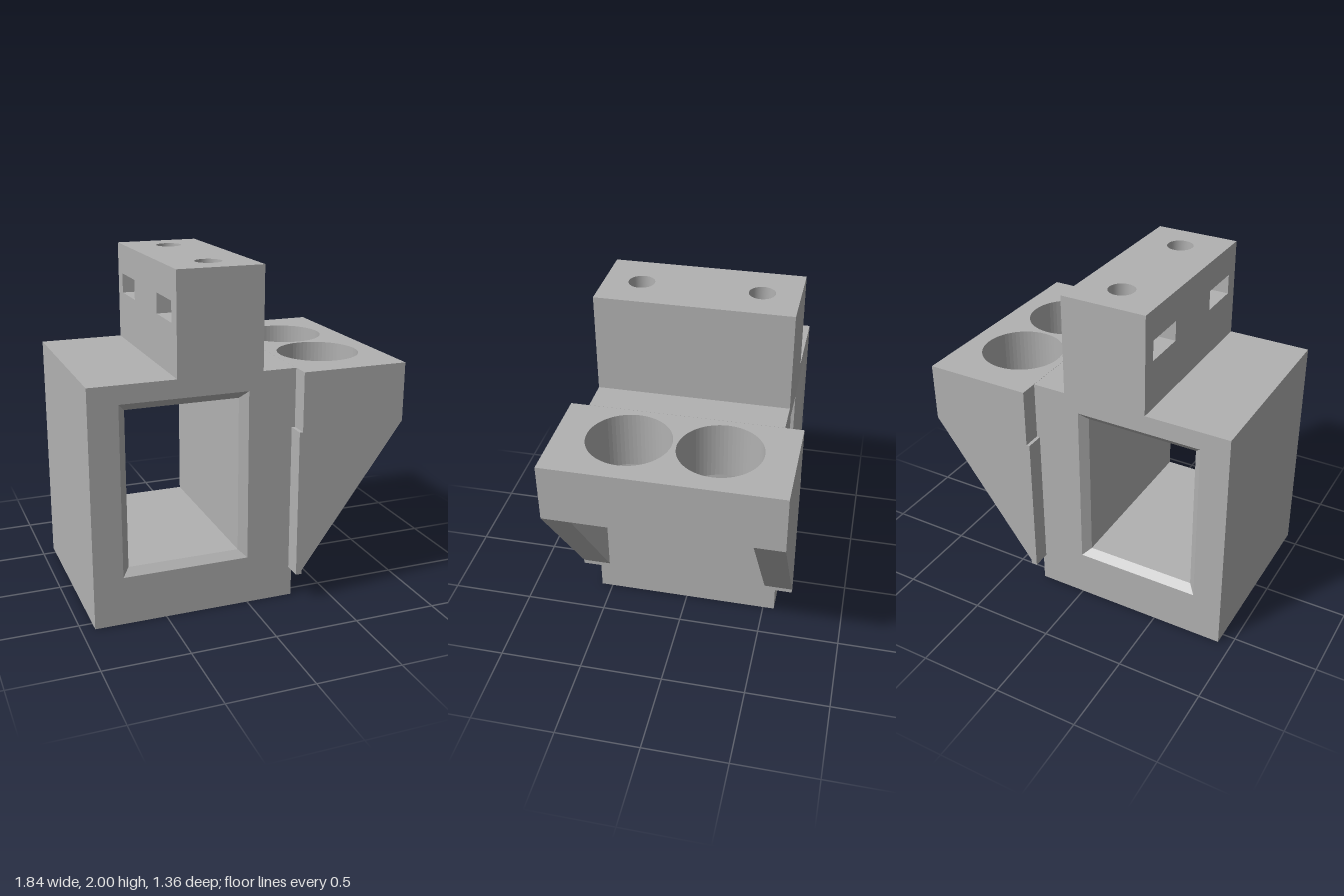
import * as THREE from 'three';
import { mergeGeometries } from 'three/addons/utils/BufferGeometryUtils.js';

const Z = 0.57;                       // half depth of the body
const SCREW_Z = [-0.35, 0.35], SCREW_X = -0.16, SCREW_R = 0.077;
const SLOT = { x0: -0.42, x1: -0.03, y0: 1.7, y1: 1.82, half: 0.132 };
const SCREW_BOTTOM = 1.5;

// Closed polygon from [x, y] points
const poly = (pts) => new THREE.Shape(pts.map(([x, y]) => new THREE.Vector2(x, y)));
const rect = (x0, y0, x1, y1) => [[x0, y0], [x1, y0], [x1, y1], [x0, y1]];

function circle(x, y, r) {
  const p = new THREE.Path();
  p.absarc(x, y, r, 0, Math.PI * 2, true);
  return p;
}

// Flat quads joining two loops of [x, y] points at different z; skips listed sides
function wallBetween(a, za, b, zb, inward, skip = []) {
  const pos = [];
  a.forEach((_, i) => {
    if (skip.includes(i)) return;
    const j = (i + 1) % a.length;
    const q = [[...a[i], za], [...a[j], za], [...b[j], zb], [...b[i], zb]];
    if (!inward) q.reverse();
    for (const k of [0, 1, 2, 0, 2, 3]) pos.push(...q[k]);
  });
  const g = new THREE.BufferGeometry();
  g.setAttribute('position', new THREE.Float32BufferAttribute(pos, 3));
  g.computeVertexNormals();
  return g;
}

export function createModel() {
  const model = new THREE.Group();
  model.name = 'sensorMount';
  const grey = new THREE.MeshStandardMaterial({ color: 0xb2b2b2, side: THREE.DoubleSide });
  grey.name = 'grey plastic';

  const add = (name, geometry, parent = model) => {
    const mesh = new THREE.Mesh(geometry, grey);
    mesh.name = name;
    parent.add(mesh);
    return mesh;
  };
  const group = (name) => {
    const g = new THREE.Group();
    g.name = name;
    model.add(g);
    return g;
  };

  // Body and neck shell
  const body = group('body');
  const outline = [[-0.922, 0], [0.284, 0], [0.284, 1.408], [0.085, 1.408],
    [0.085, 2], [-0.42, 2], [-0.42, 1.408], [-0.922, 1.408]];
  const windowOuter = rect(-0.75, 0.288, 0, 1.3);
  const windowInner = rect(-0.708, 0.33, -0.045, 1.255);
  for (const side of [1, -1]) {
    const mirror = (pts) => pts.map(([x, y]) => [x * side, y]);
    const shape = poly(mirror(outline));
    shape.holes.push(poly(mirror(windowOuter)));
    const face = new THREE.ShapeGeometry(shape);
    if (side < 0) face.rotateY(Math.PI);
    add(side > 0 ? 'frontFace' : 'backFace', face.translate(0, 0, side * Z), body);
  }
  add('outerWalls', wallBetween(outline, Z, outline, -Z, false, [4, 5]), body);

  // Tunnel with chamfered mouths
  const zi = Z - 0.042;
  add('tunnel', mergeGeometries([
    wallBetween(windowOuter, Z, windowInner, zi, true),
    wallBetween(windowInner, zi, windowInner, -zi, true),
    wallBetween(windowInner, -zi, windowOuter, -Z, true),
  ]), body);

  // Neck top with screw holes
  const top = poly(rect(-0.42, -Z, 0.085, Z));
  SCREW_Z.forEach((z) => top.holes.push(circle(SCREW_X, -z, SCREW_R)));
  add('neckTop', new THREE.ShapeGeometry(top, 24).rotateX(-Math.PI / 2).translate(0, 2, 0), body);

  // Neck side with nut slots
  const side = poly(rect(-Z, 1.408, Z, 2));
  SCREW_Z.forEach((z) => side.holes.push(poly(rect(z - SLOT.half, SLOT.y0, z + SLOT.half, SLOT.y1))));
  add('neckSide', new THREE.ShapeGeometry(side).rotateY(-Math.PI / 2).translate(-0.42, 0, 0), body);

  // Screw holes and nut slots
  const w = SLOT.x1 - SLOT.x0, h = SLOT.y1 - SLOT.y0, cy = (SLOT.y0 + SLOT.y1) / 2;
  SCREW_Z.forEach((z) => {
    const pocket = group('screwPocket');
    const tube = (y0, y1) => add('screwHole',
      new THREE.CylinderGeometry(SCREW_R, SCREW_R, y1 - y0, 48, 1, true)
        .translate(SCREW_X, (y0 + y1) / 2, z), pocket);
    tube(SLOT.y1, 2);
    tube(SCREW_BOTTOM, SLOT.y0);
    add('screwHoleEnd', new THREE.CircleGeometry(SCREW_R, 48).rotateX(-Math.PI / 2)
      .translate(SCREW_X, SCREW_BOTTOM, z), pocket);
    for (const [y, dir] of [[SLOT.y0, -1], [SLOT.y1, 1]]) {
      const plate = poly(rect(SLOT.x0, -SLOT.half, SLOT.x1, SLOT.half));
      plate.holes.push(circle(SCREW_X, 0, SCREW_R));
      add(dir < 0 ? 'slotFloor' : 'slotCeiling',
        new THREE.ShapeGeometry(plate, 24).rotateX(dir * Math.PI / 2).translate(0, y, z), pocket);
    }
    for (const s of [1, -1]) {
      const wall = new THREE.PlaneGeometry(w, h);
      if (s > 0) wall.rotateY(Math.PI);
      add('slotWall', wall.translate((SLOT.x0 + SLOT.x1) / 2, cy, z + s * SLOT.half), pocket);
    }
    add('slotEnd', new THREE.PlaneGeometry(SLOT.half * 2, h).rotateY(-Math.PI / 2)
      .translate(SLOT.x1, cy, z), pocket);
  });

  // Bracket shelf with two large round holes
  const bracket = group('bracket');
  const shelf = poly(rect(0.285, -0.678, 0.922, 0.678));
  for (const z of [-0.256, 0.256]) shelf.holes.push(circle(0.57, z, 0.243));
  add('shelf', new THREE.ExtrudeGeometry(shelf, { depth: 0.348, bevelEnabled: false, curveSegments: 32 })
    .rotateX(-Math.PI / 2).translate(0, 1.06, 0), bracket);

  // Triangular gussets at both ends
  const gusset = poly([[0.265, 0.18], [0.302, 0.18], [0.302, 0.206], [0.922, 1.06], [0.265, 1.06]]);
  for (const z of [-0.678, 0.505]) {
    add('gusset', new THREE.ExtrudeGeometry(gusset, { depth: 0.173, bevelEnabled: false })
      .translate(0, 0, z), bracket);
  }

  // Plate joining the bracket to the body
  add('backPlate', new THREE.BoxGeometry(0.037, 0.88, 1.01).translate(0.2835, 0.62, 0), bracket);

  return model;
}
